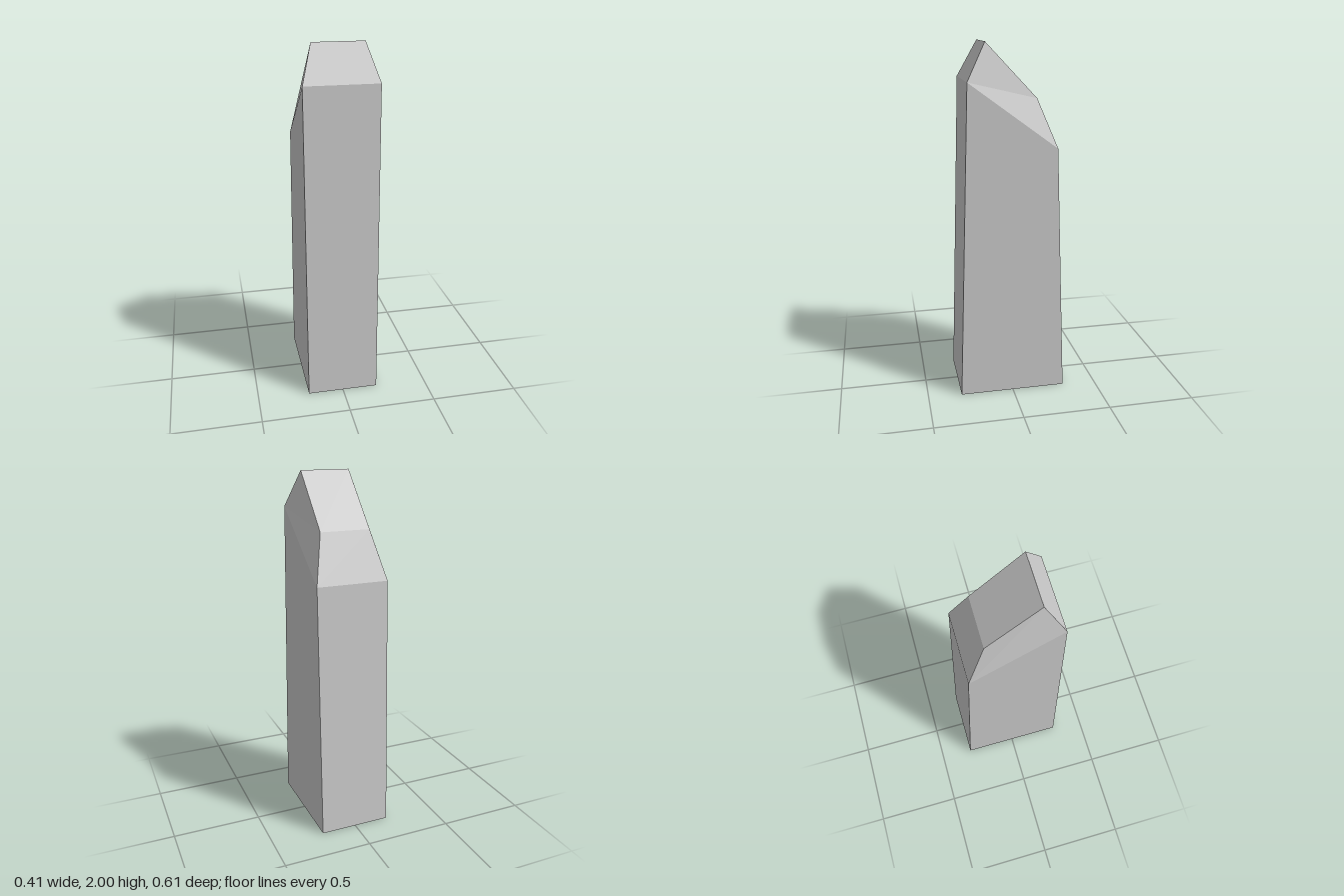
import * as THREE from 'three';

// Four-cornered section, counter-clockwise from above; front and back edges may differ in height.
const section = (halfX, halfZ, frontY, backY) => [
  [-halfX, frontY, halfZ],
  [halfX, frontY, halfZ],
  [halfX, backY, -halfZ],
  [-halfX, backY, -halfZ],
];

// Flat-sided block between two sections, with optional end faces.
function loft(name, lower, upper, { bottom = false, top = false }, material) {
  const positions = [];
  const quad = (a, b, c, d) => positions.push(...a, ...b, ...c, ...a, ...c, ...d);
  for (let i = 0; i < 4; i++) {
    const j = (i + 1) % 4;
    quad(lower[i], lower[j], upper[j], upper[i]);
  }
  if (bottom) quad(...[...lower].reverse());
  if (top) quad(...upper);

  const geometry = new THREE.BufferGeometry();
  geometry.setAttribute('position', new THREE.Float32BufferAttribute(positions, 3));
  geometry.computeVertexNormals();
  const mesh = new THREE.Mesh(geometry, material);
  mesh.name = name;
  return mesh;
}

export function createModel() {
  const group = new THREE.Group();
  group.name = 'taperedPillar';
  const material = new THREE.MeshStandardMaterial({ color: 0xcccccc, flatShading: true });

  const base = section(0.204, 0.306, 0, 0);
  const shoulder = section(0.204, 0.245, 1.8, 1.44);
  const crown = section(0.142, 0.14, 2, 1.705);

  // Shaft narrows front to back and ends in a slanted shoulder
  group.add(loft('shaft', base, shoulder, { bottom: true }, material));
  // Bevelled tip with a sloping top face
  group.add(loft('tip', shoulder, crown, { top: true }, material));
  return group;
}
